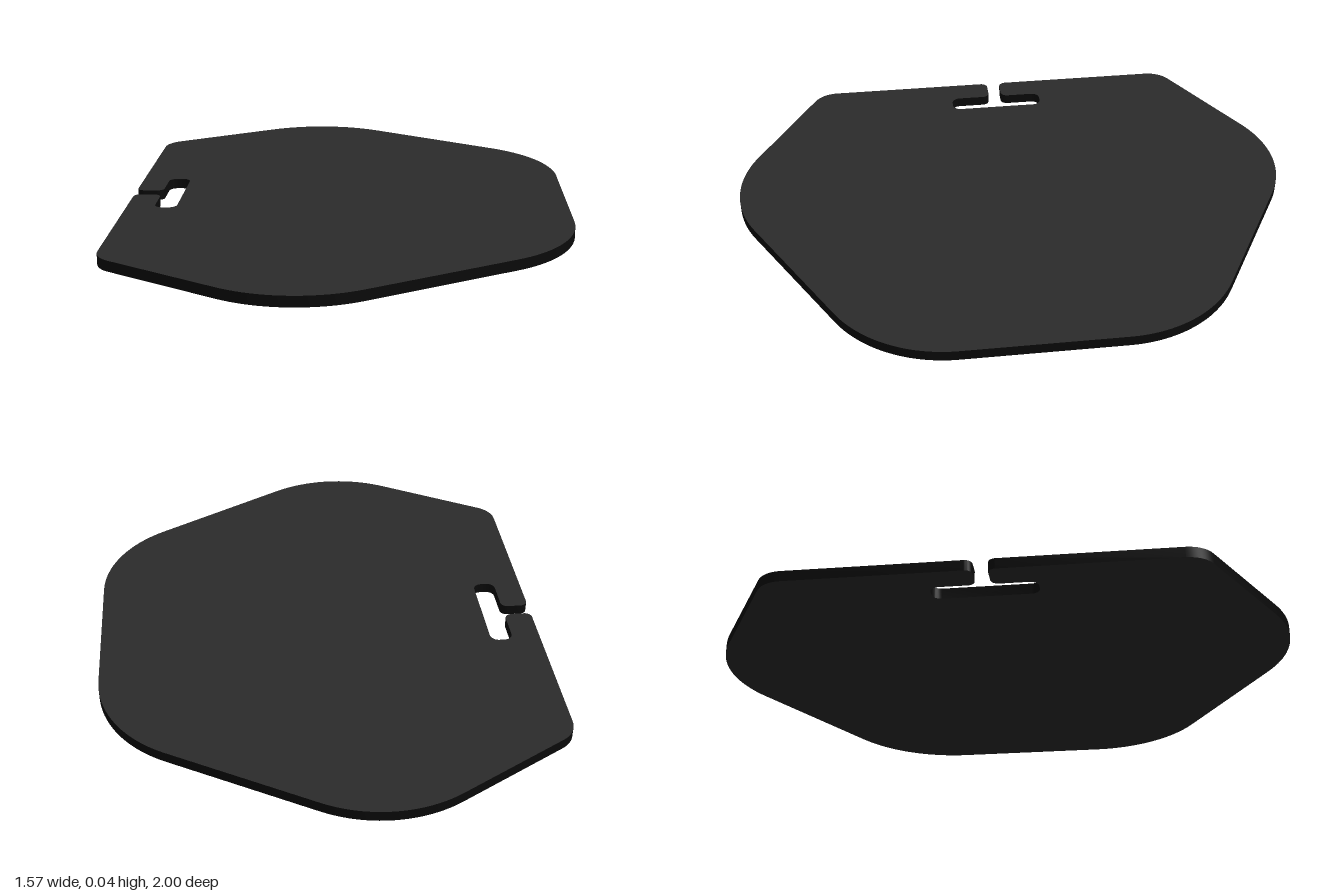
import * as THREE from 'three';
import { toCreasedNormals } from 'three/addons/utils/BufferGeometryUtils.js';

const THICKNESS = 0.037;

// Closed shape from corners [x, y, radius], each corner rounded by a true arc
function roundedShape(corners) {
  const n = corners.length;
  const points = [];
  corners.forEach(([x, y, r], i) => {
    const p = new THREE.Vector2(x, y);
    const toward = ([a, b]) => new THREE.Vector2(a, b).sub(p).normalize();
    const u = toward(corners[(i + n - 1) % n]);
    const v = toward(corners[(i + 1) % n]);
    const half = Math.acos(u.dot(v)) / 2;
    const tangent = r / Math.tan(half);
    const centre = u.clone().add(v).normalize().multiplyScalar(r / Math.sin(half)).add(p);
    const start = u.multiplyScalar(tangent).add(p).sub(centre);
    const end = v.multiplyScalar(tangent).add(p).sub(centre);
    const sweep = Math.atan2(start.cross(end), start.dot(end));
    const steps = r > 0.2 ? 20 : 8;
    for (let k = 0; k <= steps; k++) {
      points.push(start.clone().rotateAround(new THREE.Vector2(), sweep * k / steps).add(centre));
    }
  });
  return new THREE.Shape(points);
}

export function createModel() {
  const group = new THREE.Group();
  group.name = 'slottedPlate';

  const faceMaterial = new THREE.MeshStandardMaterial({ color: 0x2b2b2b });
  faceMaterial.name = 'charcoalFace';
  const edgeMaterial = new THREE.MeshStandardMaterial({ color: 0x0a0a0a });
  edgeMaterial.name = 'blackEdge';

  // Upper half of the outline, from the right side round to the slot's far wall
  const upper = [
    [0.785, 0.536, 0.45],    // broad right corner
    [-0.14, 1.07, 0.45],     // broad apex
    [-0.785, 0.697, 0.1],    // tight left corner
    [-0.785, 0.025, 0.025],  // lip beside the entry channel
    [-0.687, 0.025, 0.025],
    [-0.687, 0.176, 0.03],   // T-shaped slot
    [-0.608, 0.176, 0.03],
  ];
  const lower = upper.map(([x, y, r]) => [x, -y, r]).reverse();

  // Plate lying flat on the ground
  const geometry = new THREE.ExtrudeGeometry(roundedShape([...upper, ...lower]), {
    depth: THICKNESS, bevelEnabled: false,
  });
  geometry.rotateX(-Math.PI / 2);
  const plate = new THREE.Mesh(toCreasedNormals(geometry, 0.5), [faceMaterial, edgeMaterial]);
  plate.name = 'plate';
  group.add(plate);

  return group;
}
